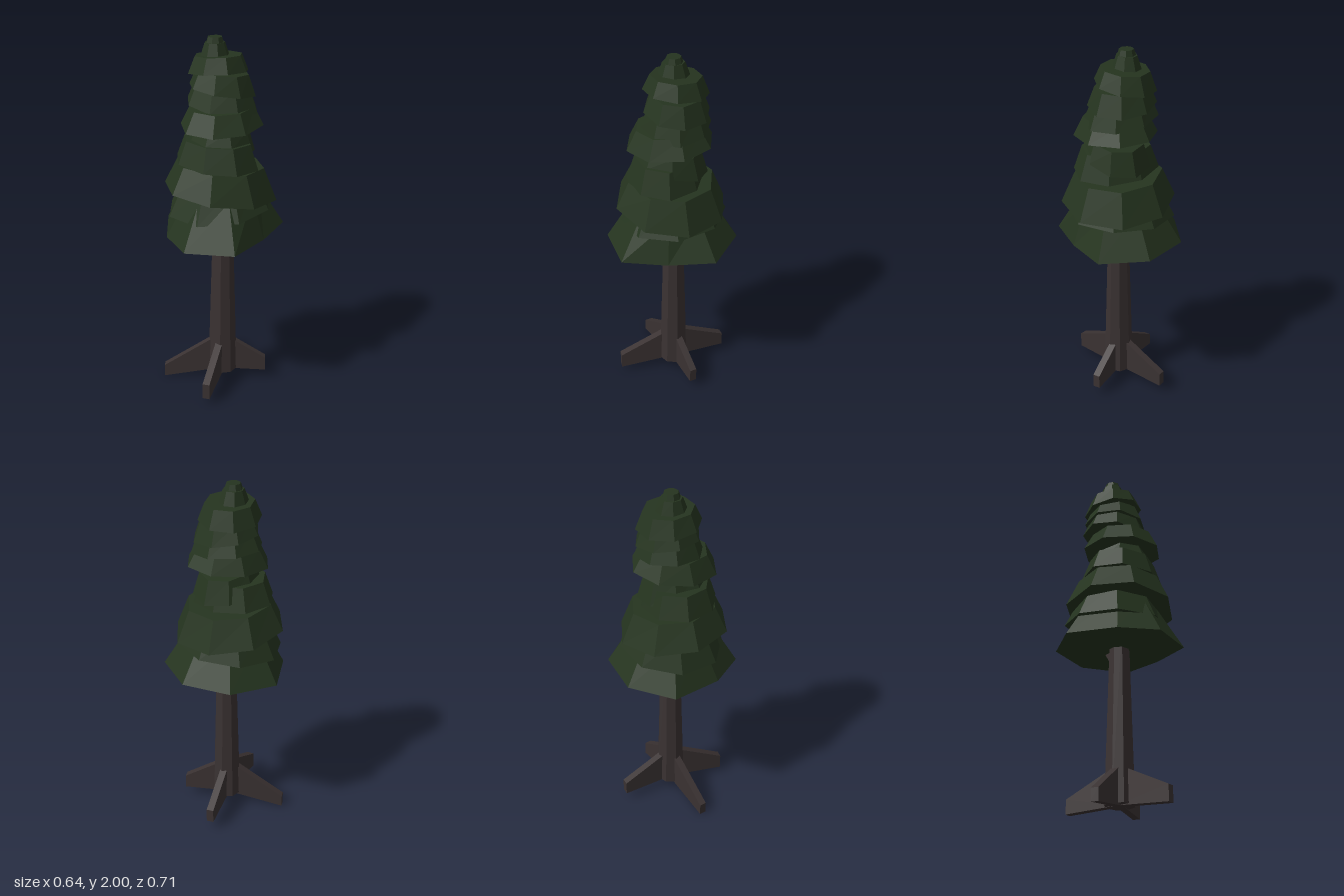
import * as THREE from 'three';

const BARK = 0x3a3232, NEEDLES = 0x25341f;

// Skirts of needles, bottom to top: lower rim extents, heights, top/bottom ratio,
// rim slope along x and z, and rotation in half-facets.
const TIERS = [
  { y: [0.938, 1.17], x: [-0.32, 0.39], z: [-0.357, 0.357], top: 0.60, tilt: [0, -0.04], turn: 0 },
  { y: [1.075, 1.25], x: [-0.265, 0.305], z: [-0.29, 0.275], top: 0.70, tilt: [0.05, -0.09], turn: 0.4 },
  { y: [1.165, 1.325], x: [-0.25, 0.32], z: [-0.275, 0.285], top: 0.77, tilt: [-0.07, 0.10], turn: 1 },
  { y: [1.335, 1.465], x: [-0.2, 0.265], z: [-0.17, 0.235], top: 0.80, tilt: [-0.06, 0.02], turn: 0.5 },
  { y: [1.415, 1.52], x: [-0.13, 0.22], z: [-0.19, 0.185], top: 0.80, tilt: [0.02, 0.27], turn: 0.2 },
  { y: [1.545, 1.645], x: [-0.155, 0.25], z: [-0.205, 0.225], top: 0.77, tilt: [0, -0.07], turn: 1 },
  { y: [1.64, 1.76], x: [-0.165, 0.225], z: [-0.2, 0.16], top: 0.76, tilt: [-0.13, 0], turn: 0.5 },
  { y: [1.72, 1.82], x: [-0.145, 0.2], z: [-0.19, 0.14], top: 0.78, tilt: [-0.1, 0.1], turn: 0.8 },
  { y: [1.815, 1.905], x: [-0.155, 0.165], z: [-0.19, 0.15], top: 0.78, tilt: [0.09, 0.08], turn: 0.3 },
  { y: [1.9, 1.97], x: [-0.085, 0.065], z: [-0.09, 0.075], top: 0.7, tilt: [0.05, 0], turn: 0.2 },
  { y: [1.935, 2.0], x: [-0.065, 0.05], z: [-0.065, 0.05], top: 0.65, tilt: [0, 0], turn: 0.6 },
];

const material = (color) => new THREE.MeshStandardMaterial({ color, flatShading: true });

function addMesh(parent, geometry, mat, name) {
  const mesh = new THREE.Mesh(geometry, mat);
  mesh.name = name;
  parent.add(mesh);
  return mesh;
}

// Tilted eight-sided frustum fitted to its rim extents
function tierGeometry({ y, x, z, top, tilt, turn }, index) {
  const height = y[1] - y[0];
  const geo = new THREE.CylinderGeometry(top, 1, height, 8, 1, false, turn * Math.PI / 8);
  const fit = 1 / Math.cos(Math.min(turn, 2 - turn) * Math.PI / 8);
  const cx = (x[0] + x[1]) / 2, cz = (z[0] + z[1]) / 2;
  const rx = fit * (x[1] - x[0]) / 2, rz = fit * (z[1] - z[0]) / 2;
  const p = geo.attributes.position;
  for (let i = 0; i < p.count; i++) {
    const isRim = p.getY(i) < 0;
    let px = p.getX(i) * rx, pz = p.getZ(i) * rz;
    if (index === 0) {
      // The lowest skirt is trimmed on the left side and at the front right corner
      if (px < -0.1 && pz > 0.1) { px *= 0.78; pz *= 0.94; }
      px = Math.min(px, isRim ? 0.275 : 0.2);
    }
    const slope = tilt[0] * px + tilt[1] * pz;
    p.setXYZ(i, cx + px, p.getY(i) + (y[0] + y[1]) / 2 + slope * (isRim ? 1 : 0.6), cz + pz);
  }
  geo.computeVertexNormals();
  return geo;
}

// Upright fin running from the trunk axis to a blunt tip
function addRoot(parent, mat, [x, z, low, high]) {
  const cx = 0.04, cz = -0.01, thickness = 0.04;
  const length = Math.hypot(x - cx, z - cz);
  const shape = new THREE.Shape([
    [0, 0.06], [length, low], [length, high], [0.06, 0.25], [0, 0.25],
  ].map(([a, b]) => new THREE.Vector2(a, b)));
  const geo = new THREE.ExtrudeGeometry(shape, { depth: thickness, bevelEnabled: false });
  geo.translate(0, 0, -thickness / 2);
  const root = addMesh(parent, geo, mat, 'root');
  root.position.set(cx, 0, cz);
  root.rotation.y = -Math.atan2(z - cz, x - cx);
}

export function createModel() {
  const tree = new THREE.Group();
  tree.name = 'coniferTree';
  const bark = material(BARK), needles = material(NEEDLES);

  // Tapered trunk, with its top hidden in the foliage
  const trunk = addMesh(tree, new THREE.CylinderGeometry(0.054, 0.083, 1.0, 8, 1, false, Math.PI / 8), bark, 'trunk');
  trunk.position.set(0.043, 0.56, -0.01);

  // Short branch rising at the back
  const branch = addMesh(tree, new THREE.CylinderGeometry(0.022, 0.028, 0.2, 6), bark, 'branch');
  branch.position.set(0.045, 0.93, -0.09);
  branch.rotation.x = -0.62;

  // Roots: tip x, tip z, tip bottom, tip top
  const roots = new THREE.Group();
  roots.name = 'roots';
  tree.add(roots);
  [
    [-0.245, 0.165, 0.0, 0.07],
    [0.13, 0.295, 0.03, 0.12],
    [0.255, -0.14, 0.05, 0.13],
    [-0.09, -0.29, 0.05, 0.13],
  ].forEach((tip) => addRoot(roots, bark, tip));

  // Layered foliage
  const foliage = new THREE.Group();
  foliage.name = 'foliage';
  tree.add(foliage);
  TIERS.forEach((tier, i) => addMesh(foliage, tierGeometry(tier, i), needles, 'foliageTier' + (i + 1)));

  return tree;
}
